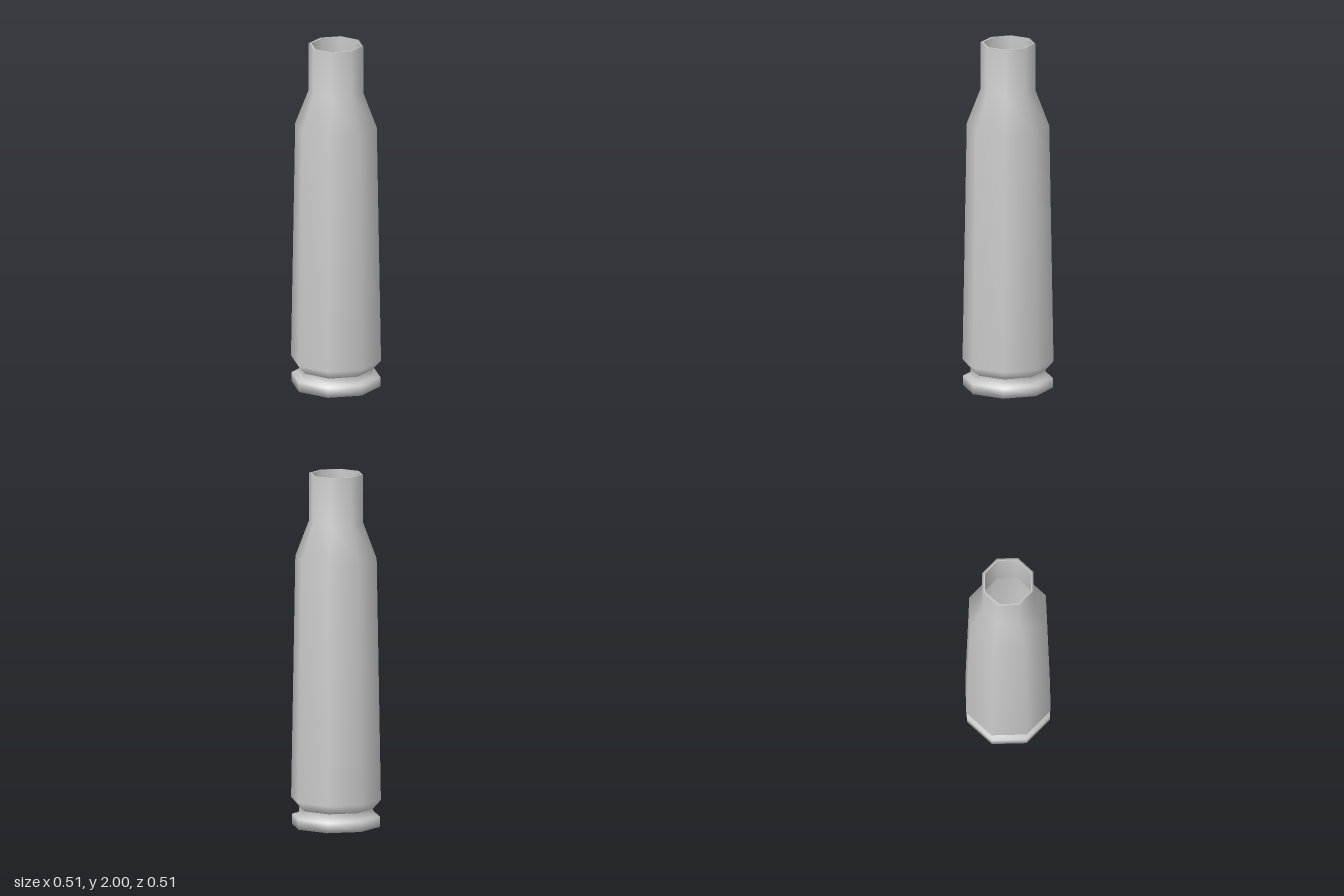
import * as THREE from 'three';

const SIDES = 8;

// Smooth-shaded eight-sided turned part from [radius, height] pairs
function turned(name, profile, material) {
  const points = profile.map(([r, y]) => new THREE.Vector2(r, y));
  const mesh = new THREE.Mesh(new THREE.LatheGeometry(points, SIDES), material);
  mesh.name = name;
  return mesh;
}

export function createModel() {
  const group = new THREE.Group();
  group.name = 'cartridgeCase';
  const metal = new THREE.MeshStandardMaterial({ color: 0xcccccc });

  // Base disc, rim and extractor groove
  group.add(turned('rimAndGroove', [
    [0, 0], [0.252, 0], [0.252, 0.056], [0.21, 0.058], [0.21, 0.1],
  ], metal));

  // Tapered body, shoulder, neck and mouth lip
  group.add(turned('bodyAndNeck', [
    [0.21, 0.1], [0.256, 0.153], [0.232, 1.525], [0.155, 1.727], [0.155, 2], [0.139, 2],
  ], metal));

  // Hollow inside, from the mouth down to the floor
  group.add(turned('cavity', [
    [0.139, 2], [0.139, 1.72], [0.214, 1.515], [0.236, 0.17], [0, 0.15],
  ], metal));

  return group;
}
